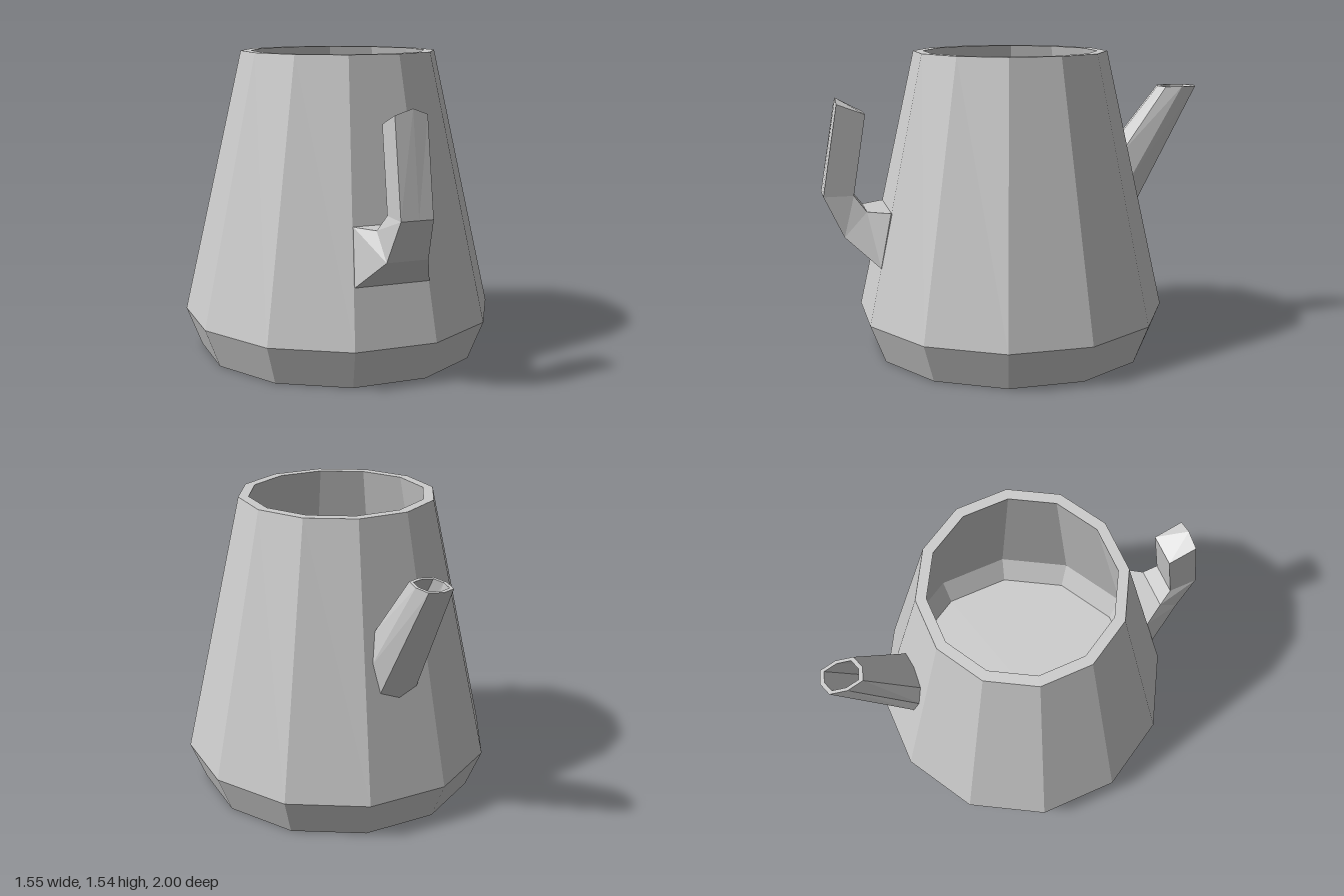
import * as THREE from 'three';

// Skin a list of closed rings (equal point counts), optionally capping the last one
function loft(rings, cap = false) {
  const n = rings[0].length;
  const pos = [];
  const tri = (...pts) => pts.forEach((p) => pos.push(...p));
  for (let i = 0; i < rings.length - 1; i++) {
    for (let j = 0; j < n; j++) {
      const k = (j + 1) % n;
      const a = rings[i][j], b = rings[i][k], c = rings[i + 1][k], d = rings[i + 1][j];
      tri(a, b, c);
      tri(a, c, d);
    }
  }
  if (cap) {
    const r = rings[rings.length - 1];
    for (let j = 1; j < n - 1; j++) tri(r[0], r[j], r[j + 1]);
  }
  const geo = new THREE.BufferGeometry();
  geo.setAttribute('position', new THREE.Float32BufferAttribute(pos, 3));
  geo.computeVertexNormals();
  return geo;
}

export function createModel() {
  const group = new THREE.Group();
  const mat = new THREE.MeshStandardMaterial({ color: 0xcccccc, flatShading: true });
  const add = (name, geo) => {
    const mesh = new THREE.Mesh(geo, mat);
    mesh.name = name;
    group.add(mesh);
    return mesh;
  };

  // Twelve-sided hollow body; radii are given to the flats
  const bodyZ = 0.025;
  const profile = [
    [0, 0], [0.7, 0], [0.776, 0.2], [0.48, 1.545],
    [0.43, 1.545], [0.72, 0.22], [0.66, 0.05], [0, 0.05],
  ].map(([r, y]) => new THREE.Vector2(r / Math.cos(Math.PI / 12), y));
  add('body', new THREE.LatheGeometry(profile, 12, Math.PI / 12)).position.z = bodyZ;

  // Distance from the body axis to its wall at height y
  const wall = (y) => 0.776 - 0.22 * (y - 0.2);

  // Hollow eight-sided spout, from the back wall to a level tip
  const tip = (s) => Array.from({ length: 8 }, (_, i) => {
    const a = (i * Math.PI) / 4, k = i % 2 ? 1.12 : 1;
    return [0.08 * s * k * Math.sin(a), 1.345, -0.895 + 0.105 * s * k * Math.cos(a)];
  });
  const root = (s) => Array.from({ length: 8 }, (_, i) => {
    const a = (i * Math.PI) / 4, k = i % 2 ? 1.12 : 1;
    const y = 0.855 + 0.19 * s * Math.min(k * Math.cos(a), 1);
    return [0.127 * s * k * Math.sin(a), y, bodyZ - wall(y) + 0.02];
  });
  add('spout', loft([root(1), tip(1), tip(0.8), root(0.8)]));

  // Handle stations: outer [y, z, half width], inner [y, z, half width], ridge rise
  const stations = [
    [[0.475, 0.715, 0.19], [0.765, 0.655, 0.175], 0],
    [[0.49, 0.737, 0.19], [0.765, 0.68, 0.175], 0],
    [[0.64, 0.904, 0.103], [0.765, 0.79, 0.105], 0],
    [[0.845, 1.0, 0.079], [0.845, 0.85, 0.079], 0],
    [[1.303, 0.922, 0.079], [1.25, 0.783, 0.079], 0.027],
  ];
  const handle = add('handle', loft(stations.map(([[oy, oz, ow], [iy, iz, iw], rise]) => [
    [0.008, oy + rise, oz], [ow, oy, oz], [iw, iy, iz], [-iw, iy, iz], [-ow, oy, oz],
  ]), true));
  handle.position.x = 0.004;

  return group;
}
